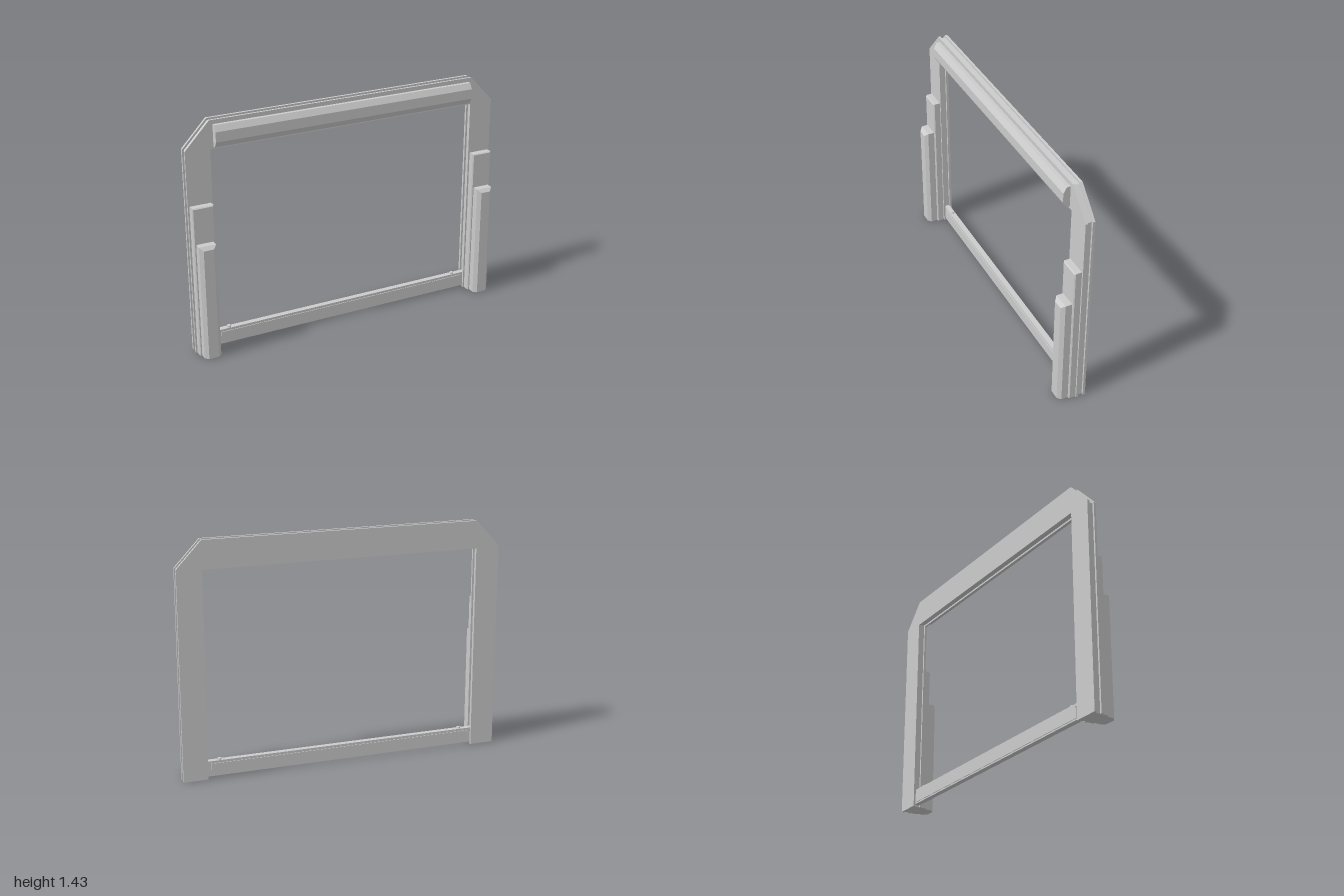
import * as THREE from 'three';

const material = new THREE.MeshStandardMaterial({ color: 0xcccccc, flatShading: true });

function add(parent, name, geometry, x = 0, y = 0, z = 0) {
  const mesh = new THREE.Mesh(geometry, material);
  mesh.name = name;
  mesh.position.set(x, y, z);
  parent.add(mesh);
  return mesh;
}

// Arch outline with clipped top corners, shrunk on every side by an inset
function archPlate(inset, depth) {
  const o = 1 - inset, i = 0.85 + inset, c = 0.85 - inset * 0.4;
  const top = 1.43 - inset, shoulder = 1.27 - inset * 0.4, lintel = 1.26 + inset;
  const points = [
    [-o, 0], [-i, 0], [-i, lintel], [i, lintel], [i, 0], [o, 0],
    [o, shoulder], [c, top], [-c, top], [-o, shoulder],
  ].map(([x, y]) => new THREE.Vector2(x, y));
  return new THREE.ExtrudeGeometry(new THREE.Shape(points), { depth, bevelEnabled: false });
}

// Upright post standing on y = 0, its front edges bevelled at the sides and top
function post(width, height, back, front, bevelX, bevelY, bevelZ) {
  const g = new THREE.BoxGeometry(width, height, 1, 1, 1, 2);
  const p = g.attributes.position;
  for (let k = 0; k < p.count; k++) {
    const x = p.getX(k), y = p.getY(k), z = p.getZ(k);
    const isFront = z > 0.25;
    const newX = isFront ? x - Math.sign(x) * bevelX : x;
    const newY = y < 0 ? 0 : height - (isFront ? bevelY : 0);
    const newZ = isFront ? front : z > -0.25 ? front - bevelZ : back;
    p.setXYZ(k, newX, newY, newZ);
  }
  g.computeVertexNormals();
  return g;
}

export function createModel() {
  const model = new THREE.Group();
  model.name = 'gateFrame';

  // Arch: two face plates around a slightly recessed core
  const arch = new THREE.Group();
  arch.name = 'arch';
  model.add(arch);
  add(arch, 'backPlate', archPlate(0, 0.015), 0, 0, -0.08);
  add(arch, 'core', archPlate(0.012, 0.03), 0, 0, -0.065);
  add(arch, 'frontPlate', archPlate(0, 0.013), 0, 0, -0.035);

  // Bevelled beam across the front of the lintel
  const profile = [
    [0.022, 1.275], [0, 1.275], [-0.02, 1.31], [-0.02, 1.37], [0, 1.405], [0.022, 1.405],
  ].map(([x, y]) => new THREE.Vector2(x, y));
  const beam = new THREE.ExtrudeGeometry(new THREE.Shape(profile), { depth: 1.66, bevelEnabled: false });
  beam.rotateY(Math.PI / 2);
  add(model, 'lintelBeam', beam, -0.83, 0, 0);

  // Stepped posts on both legs
  for (const side of [-1, 1]) {
    const leg = new THREE.Group();
    leg.name = side > 0 ? 'leftLegPosts' : 'rightLegPosts';
    leg.position.x = side * 0.925;
    model.add(leg);
    add(leg, 'rearPost', post(0.13, 0.94, -0.022, 0.021, 0.006, 0.006, 0.006));
    add(leg, 'frontPost', post(0.104, 0.718, 0.021, 0.082, 0.021, 0.02, 0.02));
  }

  // Bottom rail with a thin raised panel on each face
  const rail = new THREE.Group();
  rail.name = 'bottomRail';
  model.add(rail);
  add(rail, 'railBody', new THREE.BoxGeometry(1.724, 0.094, 0.034), 0, 0.06, -0.05);
  for (const z of [-0.069, -0.031])
    add(rail, 'railPanel', new THREE.BoxGeometry(1.66, 0.07, 0.004), 0, 0.057, z);

  // Small round studs on the rail
  for (const x of [-0.775, 0.775])
    add(rail, 'railStud', new THREE.CylinderGeometry(0.012, 0.014, 0.01, 12), x, 0.111, -0.05);

  return model;
}
